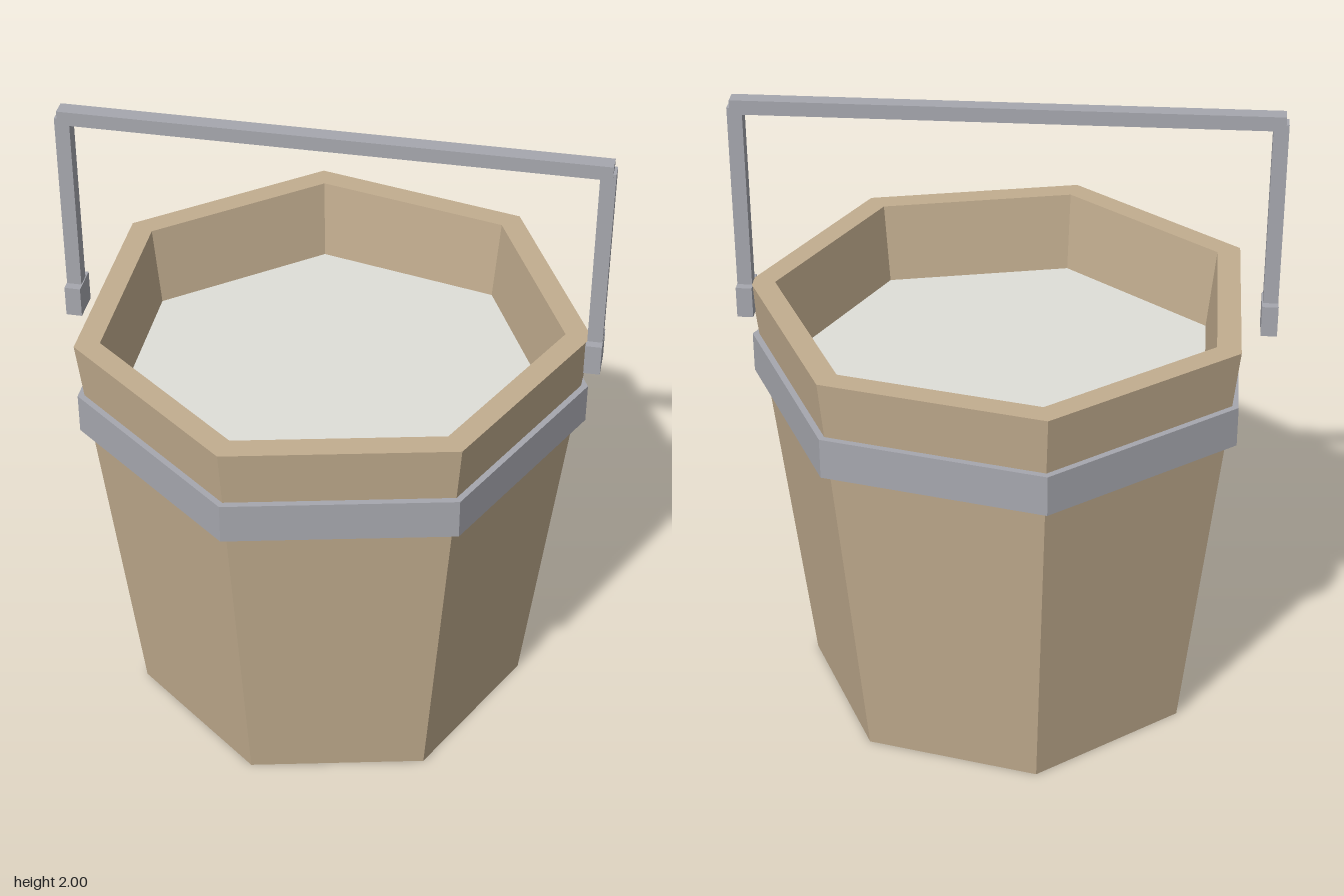
import * as THREE from 'three';

const SIDES = 7;
const mat = (color) => new THREE.MeshStandardMaterial({ color, flatShading: true });

export function createModel() {
  const group = new THREE.Group();
  const wood = mat(0xc2ad8f);
  const metal = mat(0xa6a7ae);
  const milk = mat(0xdfdfd8);

  const add = (name, geometry, material, x = 0, y = 0, z = 0) => {
    const mesh = new THREE.Mesh(geometry, material);
    mesh.name = name;
    mesh.position.set(x, y, z);
    group.add(mesh);
    return mesh;
  };

  // Seven-sided turned shape with one corner pointing to +x
  const turned = (points) => new THREE.LatheGeometry(
    points.map(([r, y]) => new THREE.Vector2(r, y)), SIDES, Math.PI / 2);

  // Tapered hollow bucket with a floor
  add('bucketBody', turned([
    [0, 0], [0.64, 0], [0.8, 1.385], [0.72, 1.385], [0.568, 0.07], [0, 0.07],
  ]), wood);

  // Straight-sided hoop around the staves
  add('hoop', turned([
    [0.75, 1.07], [0.8, 1.07], [0.8, 1.2], [0.75, 1.2],
  ]), metal);

  // Liquid filling the bucket
  add('liquidSurface', turned([[0.69, 1.125], [0, 1.125]]), milk);

  // Handle: crossbar, two uprights and their brackets
  add('handleBar', new THREE.BoxGeometry(1.65, 0.045, 0.05), metal, 0, 1.9775, 0);
  for (const [side, s] of [['left', 1], ['right', -1]]) {
    add(side + 'HandleUpright', new THREE.BoxGeometry(0.046, 0.59, 0.046), metal, s * 0.811, 1.68, 0);
    add(side + 'HandleBracket', new THREE.BoxGeometry(0.05, 0.1, 0.1), metal, s * 0.81, 1.335, 0);
  }

  return group;
}
